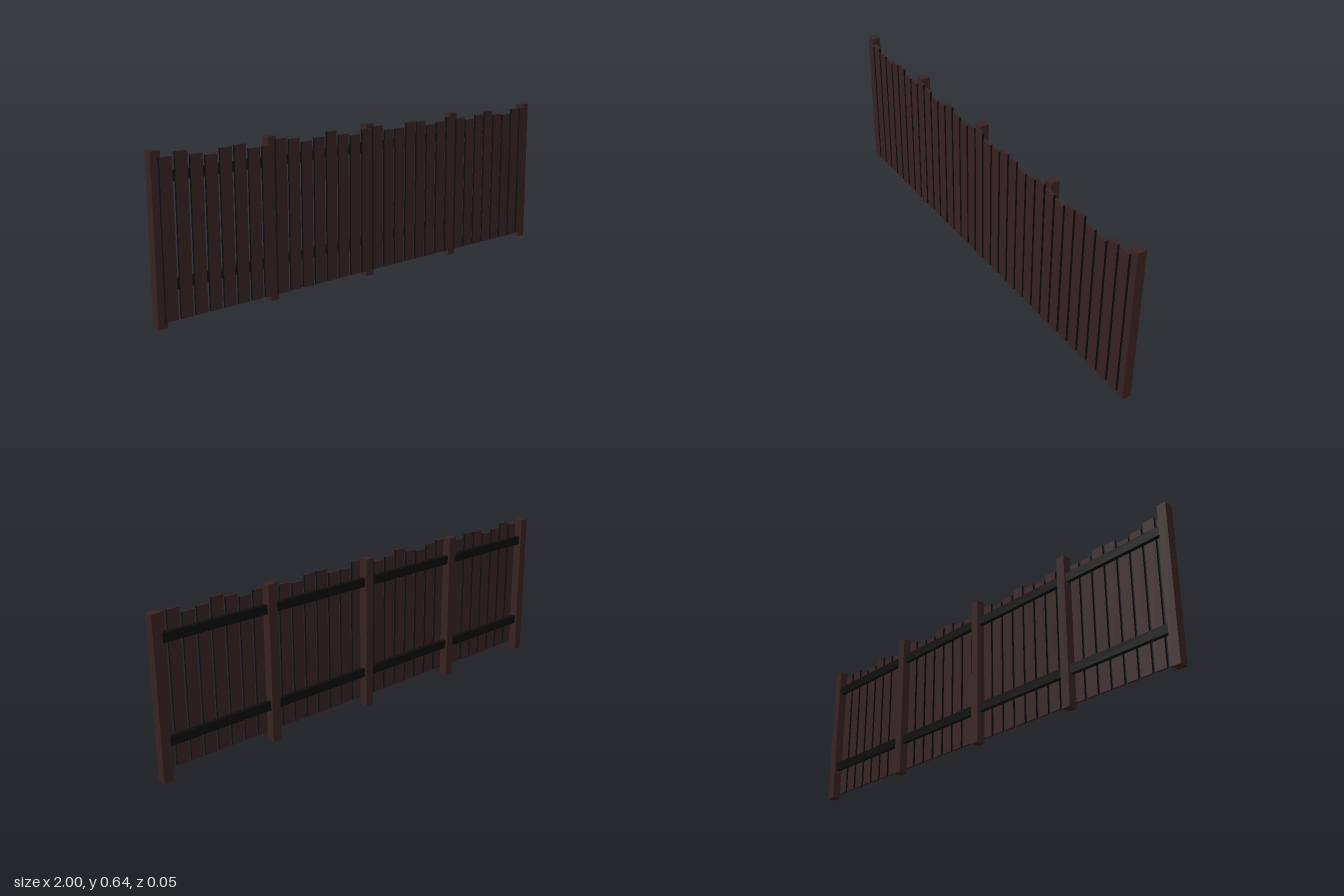
import * as THREE from 'three';

export function createModel() {
  const fence = new THREE.Group();
  fence.name = 'fence';

  const wood = new THREE.MeshStandardMaterial({ color: 0x382323 });
  wood.name = 'dark brown wood';
  const black = new THREE.MeshStandardMaterial({ color: 0x0b0c0b });
  black.name = 'black wood';

  // Box given by its centre in x, its bottom and top, and its back and front
  function addBox(name, x, width, y0, y1, z0, z1, material) {
    const mesh = new THREE.Mesh(new THREE.BoxGeometry(width, y1 - y0, z1 - z0), material);
    mesh.position.set(x, (y0 + y1) / 2, (z0 + z1) / 2);
    mesh.name = name;
    fence.add(mesh);
  }

  const bay = 0.4905, postWidth = 0.038;

  // Posts, each with a dark strip showing between the planks on the inner ones
  for (let i = -2; i <= 2; i++) {
    addBox('post', i * bay, postWidth, 0, 0.637, -0.025, 0.0125, wood);
    if (Math.abs(i) < 2) {
      const reach = i === 0 ? 0.12 : 0.08;
      addBox('darkStrip', i * bay, 0.01, 0.34 - reach, 0.33 + reach, 0.0125, 0.0135, black);
    }
  }

  // Two rails between each pair of posts
  for (let i = 0; i < 4; i++) {
    for (const y of [0.15, 0.54]) {
      addBox('rail', (i - 1.5) * bay, bay - postWidth, y - 0.018, y + 0.018, -0.016, 0.002, black);
    }
  }

  // Planks of uneven height with dark sawn sides
  const tops = [
    0.615, 0.63, 0.612, 0.603, 0.621, 0.625, 0.605, 0.607,
    0.627, 0.62, 0.603, 0.612, 0.63, 0.612, 0.603, 0.621,
    0.627, 0.606, 0.606, 0.625, 0.623, 0.603, 0.61, 0.627,
    0.615, 0.603, 0.618, 0.629, 0.61, 0.603, 0.625, 0.625,
  ];
  const plankMaterials = [black, black, wood, wood, wood, wood];
  tops.forEach((top, i) => {
    addBox('plank', (i - 15.5) * bay / 8, 0.05, 0.027, top, 0.018, 0.027, plankMaterials);
  });

  return fence;
}
